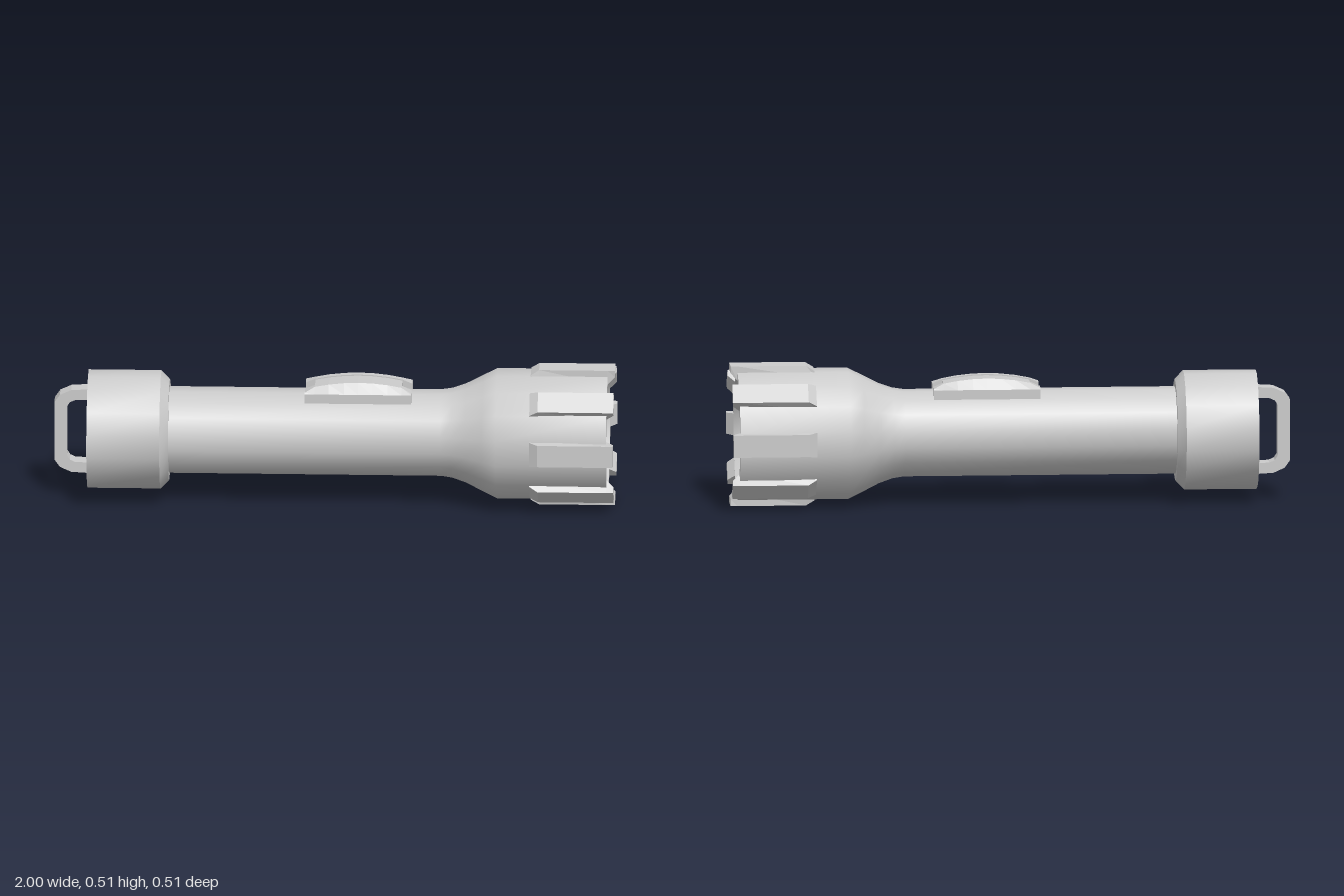
import * as THREE from 'three';
import { toCreasedNormals } from 'three/addons/utils/BufferGeometryUtils.js';

const SIDES = 16;
const AXIS_Y = 0.254;
const material = new THREE.MeshStandardMaterial({ color: 0xcccccc });

function mesh(name, geometry) {
  const m = new THREE.Mesh(geometry, material);
  m.name = name;
  return m;
}

// Turned part along x; profile rows are [x, radius measured to the flats]
function turned(name, profile) {
  const k = 1 / Math.cos(Math.PI / SIDES);
  const points = profile.map(([x, r]) => new THREE.Vector2(r * k, x));
  const geometry = new THREE.LatheGeometry(points, SIDES, Math.PI / SIDES);
  geometry.rotateZ(-Math.PI / 2);
  const m = mesh(name, toCreasedNormals(geometry, 0.6));
  m.position.y = AXIS_Y;
  return m;
}

// Solid through rings of [x, y, z] points, ordered along +x, with flat caps
function loft(rings) {
  const out = [];
  const n = rings[0].length;
  const tri = (a, b, c) => out.push(...a, ...b, ...c);
  for (let i = 0; i < rings.length - 1; i++) {
    for (let k = 0; k < n; k++) {
      const l = (k + 1) % n;
      tri(rings[i][k], rings[i][l], rings[i + 1][l]);
      tri(rings[i][k], rings[i + 1][l], rings[i + 1][k]);
    }
  }
  const first = rings[0], last = rings[rings.length - 1];
  for (let k = 1; k < n - 1; k++) {
    tri(first[0], first[k + 1], first[k]);
    tri(last[0], last[k], last[k + 1]);
  }
  const geometry = new THREE.BufferGeometry();
  geometry.setAttribute('position', new THREE.Float32BufferAttribute(out, 3));
  geometry.computeVertexNormals();
  return geometry;
}

export function createModel() {
  const model = new THREE.Group();
  model.name = 'flashlight';

  // Barrel, flared head and recessed lens
  model.add(turned('barrel', [
    [-0.6, 0.153], [0.38, 0.153], [0.42, 0.159], [0.47, 0.176],
    [0.53, 0.206], [0.58, 0.23], [0.975, 0.23], [0.975, 0.2], [0.93, 0.18],
  ]));
  model.add(turned('lens', [[0.925, 0.181], [0.93, 0.181], [0.93, 0]]));

  // Tail cap with a bevelled shoulder
  model.add(turned('tailCap', [
    [-0.88, 0], [-0.88, 0.209], [-0.62, 0.209], [-0.59, 0.178], [-0.59, 0.15],
  ]));

  // Eight grip lugs around the head: [x, inner radius, outer radius, inner and outer half width]
  const lugGeometry = loft([
    [0.70, 0.215, 0.234, 0.046, 0.045],
    [0.73, 0.215, 0.253, 0.046, 0.040],
    [0.975, 0.201, 0.253, 0.040, 0.040],
    [1.0, 0.228, 0.253, 0.038, 0.040],
  ].map(([x, ri, ro, wi, wo]) => [[x, ri, -wi], [x, ro, -wo], [x, ro, wo], [x, ri, wi]]));
  const lugs = new THREE.Group();
  lugs.name = 'gripLugs';
  lugs.position.y = AXIS_Y;
  for (let i = 0; i < 8; i++) {
    const lug = mesh('gripLug', lugGeometry);
    lug.rotation.x = i * Math.PI / 4;
    lugs.add(lug);
  }
  model.add(lugs);

  // Switch: two arched rails with an arched button between them
  const arch = (x) => 0.44 + 0.017 * (1 - (x / 0.155) ** 2);
  const inner = [-0.155, -0.105, -0.05, 0, 0.05, 0.105, 0.155];
  const railRing = (x, top, z) => [
    [x, 0.385, 0.034], [x, top, 0.034], [x, top, z], [x, 0.42, 0.082], [x, 0.385, 0.082],
  ];
  const railGeometry = loft([
    railRing(-0.19, 0.425, 0.078),
    ...inner.map((x) => railRing(x, arch(x), 0.057)),
    railRing(0.19, 0.425, 0.078),
  ]);
  const buttonGeometry = loft(inner.map((x) => {
    const y = arch(x) - 0.004;
    return [[x, 0.39, -0.034], [x, y, -0.034], [x, y, 0.034], [x, 0.39, 0.034]];
  }));
  const slider = new THREE.Group();
  slider.name = 'switch';
  slider.position.x = 0.085;
  for (const turn of [0, Math.PI]) {
    const rail = mesh('switchRail', railGeometry);
    rail.rotation.y = turn;
    slider.add(rail);
  }
  slider.add(mesh('switchButton', buttonGeometry));
  model.add(slider);

  // Hanging loop on the tail: C shape with chamfered corners
  const upper = [
    [-0.87, 0.158], [-0.94, 0.154], [-0.98, 0.136], [-1.0, 0.108],
  ];
  const hollow = [[-0.955, 0.092], [-0.945, 0.108], [-0.925, 0.117], [-0.87, 0.118]];
  const flip = (points) => points.map(([x, y]) => [x, -y]).reverse();
  const outline = [...upper, ...flip(upper), ...flip(hollow), ...hollow]
    .map(([x, y]) => new THREE.Vector2(x, y));
  const loopGeometry = new THREE.ExtrudeGeometry(new THREE.Shape(outline), {
    depth: 0.06, bevelEnabled: false,
  });
  const loop = mesh('hangingLoop', loopGeometry);
  loop.position.set(0, AXIS_Y, -0.03);
  model.add(loop);

  return model;
}
